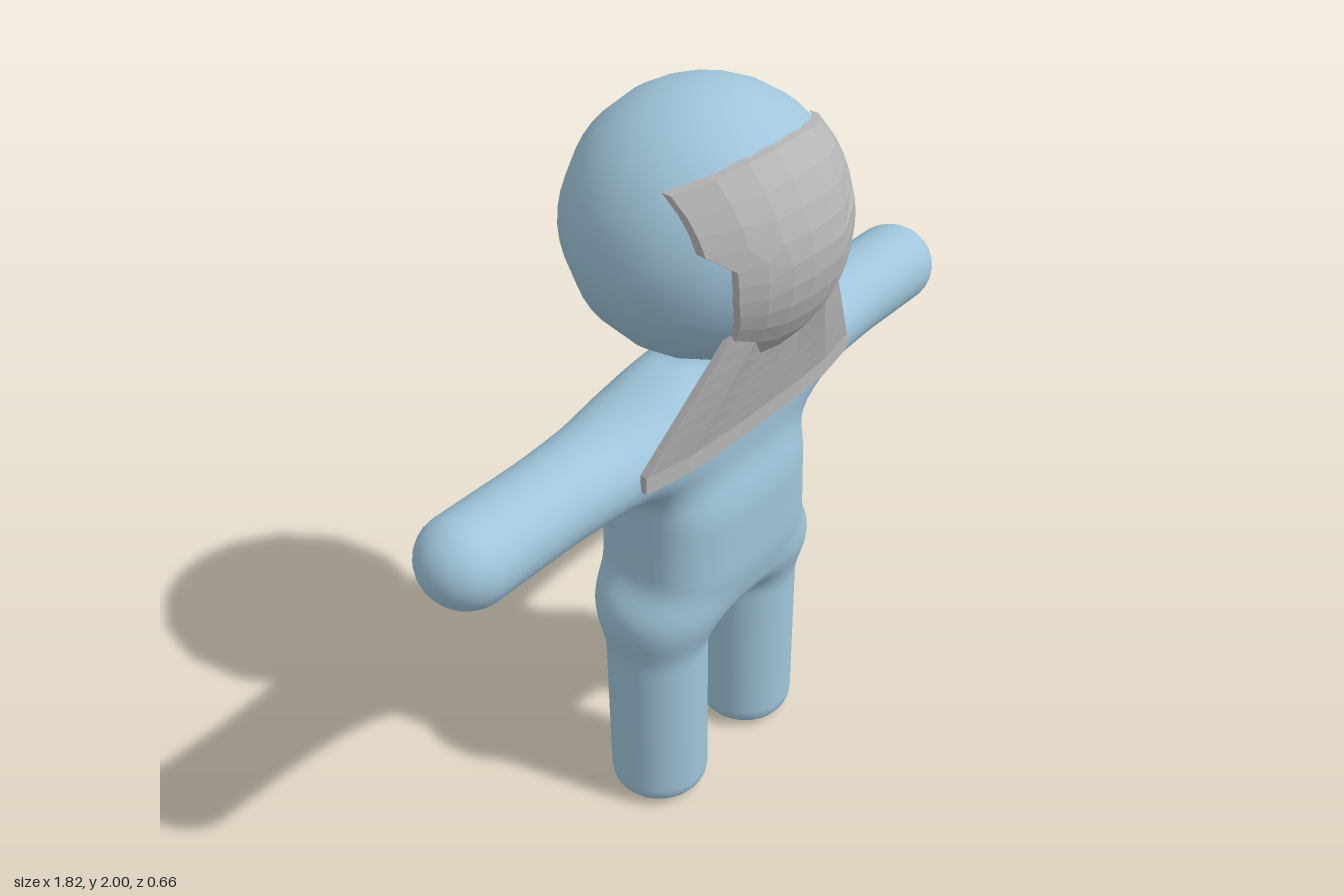
import * as THREE from 'three';

const blue = new THREE.MeshStandardMaterial({ color: 0xa0c5db });
blue.name = 'soft blue';
const grey = new THREE.MeshStandardMaterial({ color: 0xb6b6b6, side: THREE.DoubleSide });
grey.name = 'mask grey';

const step = THREE.MathUtils.smoothstep;
const blendMin = (a, b, k) => {
  const h = Math.max(k - Math.abs(a - b), 0) / k;
  return Math.min(a, b) - h * h * k / 4;
};

// Signed distance to the body: torso, arms, legs and neck blended together
function bodyDistance(px, y, z) {
  const x = Math.abs(px);
  const rx = 0.29 - 0.015 * step(y, 0.6, 1.0) - 0.1 * step(y, 1.22, 1.37);
  const rz = 0.135 + 0.05 * step(y, 0.5, 0.8) - 0.045 * step(y, 0.95, 1.2) - 0.05 * step(y, 1.2, 1.37);
  const side = (Math.cbrt((x / rx) ** 3 + Math.abs(z / rz) ** 3) - 1) * rz;
  const torso = -blendMin(-side, -(Math.abs(y - 0.98) - 0.38), 0.08);

  const spread = 1.07 + 0.22 * (1 - step(x, 0.25, 0.6));
  const arm = Math.hypot(Math.max(x - 0.802, 0), y - 1.195, z / spread) - 0.108;

  const a = Math.hypot(x - 0.19, z + 0.005) - 0.075;
  const b = Math.abs(y - 0.36) - 0.3;
  const leg = Math.hypot(Math.max(a, 0), Math.max(b, 0)) + Math.min(Math.max(a, b), 0) - 0.058;

  const neck = Math.hypot(x, Math.max(1.2 - y, y - 1.42, 0), z) - 0.082;
  return blendMin(blendMin(blendMin(torso, arm, 0.09), leg, 0.09), neck, 0.06);
}

function gradient(x, y, z) {
  const e = 0.002, f = bodyDistance;
  return new THREE.Vector3(f(x + e, y, z) - f(x - e, y, z), f(x, y + e, z) - f(x, y - e, z),
    f(x, y, z + e) - f(x, y, z - e)).divideScalar(2 * e);
}

// Quad mesh wrapped around a distance function on a regular grid
function bodyGeometry() {
  const s = 0.024, n = [80, 64, 20], origin = [-0.96, -0.041, -0.24];
  const stride = [1, n[0], n[0] * n[1]];
  const at = (i, axis) => origin[axis] + i * s;
  const value = new Float32Array(n[0] * n[1] * n[2]);
  const cells = (from, fn) => {
    for (let k = from; k < n[2] - 1; k++)
      for (let j = from; j < n[1] - 1; j++)
        for (let i = from; i < n[0] - 1; i++) fn([i, j, k], i + j * stride[1] + k * stride[2]);
  };
  for (let id = 0; id < value.length; id++) {
    const i = id % n[0], j = Math.floor(id / n[0]) % n[1], k = Math.floor(id / stride[2]);
    value[id] = bodyDistance(at(i, 0), at(j, 1), at(k, 2));
  }

  // one vertex in each cell that the surface crosses
  const vertex = new Map(), positions = [], normals = [], index = [];
  cells(0, (c, id) => {
    const sum = new THREE.Vector3();
    let count = 0;
    for (let p = 0; p < 8; p++) for (let a = 0; a < 3; a++) {
      if (p >> a & 1) continue;
      const bits = [p & 1, p >> 1 & 1, p >> 2 & 1];
      const start = id + bits[0] + bits[1] * stride[1] + bits[2] * stride[2];
      const v0 = value[start], v1 = value[start + stride[a]];
      if ((v0 < 0) === (v1 < 0)) continue;
      bits[a] += v0 / (v0 - v1);
      sum.add(new THREE.Vector3(...bits));
      count++;
    }
    if (!count) return;
    const p = sum.divideScalar(count).multiplyScalar(s)
      .add(new THREE.Vector3(at(c[0], 0), at(c[1], 1), at(c[2], 2)));
    for (let t = 0; t < 2; t++) {
      const g = gradient(p.x, p.y, p.z);
      p.addScaledVector(g, -bodyDistance(p.x, p.y, p.z) / Math.max(g.lengthSq(), 0.2));
    }
    vertex.set(id, positions.length / 3);
    positions.push(p.x, p.y, p.z);
    normals.push(...gradient(p.x, p.y, p.z).normalize().toArray());
  });

  // one quad around each grid edge that the surface crosses
  cells(1, (c, id) => {
    for (let a = 0; a < 3; a++) {
      const inside = value[id] < 0;
      if (inside === (value[id + stride[a]] < 0)) continue;
      const b = stride[(a + 1) % 3], d = stride[(a + 2) % 3];
      const q = [id - b - d, id - d, id, id - b].map(v => vertex.get(v));
      if (!inside) q.reverse();
      index.push(q[0], q[1], q[2], q[0], q[2], q[3]);
    }
  });
  const g = new THREE.BufferGeometry();
  g.setAttribute('position', new THREE.Float32BufferAttribute(positions, 3));
  g.setAttribute('normal', new THREE.Float32BufferAttribute(normals, 3));
  g.setIndex(index);
  return g;
}

// Faceted sheet over u in -1..1 and v in 0..1 (top to bottom), with a rim folded back
function sheet(cols, rows, depth, point) {
  const positions = [], index = [], w = cols + 3;
  for (let r = -1; r <= rows + 1; r++) for (let c = -1; c <= cols + 1; c++) {
    const rim = r < 0 || c < 0 || r > rows || c > cols;
    const u = THREE.MathUtils.clamp(c / cols, 0, 1) * 2 - 1;
    const [x, y, z] = point(u, THREE.MathUtils.clamp(r / rows, 0, 1));
    positions.push(x, y, z - (rim ? depth : 0));
  }
  for (let r = 0; r < rows + 2; r++) for (let c = 0; c < cols + 2; c++) {
    const i = r * w + c;
    index.push(i, i + w, i + 1, i + 1, i + w, i + w + 1);
  }
  const g = new THREE.BufferGeometry();
  g.setAttribute('position', new THREE.Float32BufferAttribute(positions, 3));
  g.setIndex(index);
  const flat = g.toNonIndexed();
  flat.computeVertexNormals();
  return flat;
}

// Lower edge of the mask, level under the chin and raised at the sides
const maskBottom = u => 1.45 + 0.09 * step(Math.abs(u), 0.4, 0.85);

function maskPoint(u, v) {
  const top = 1.93 - 0.055 * u * u;
  const y = THREE.MathUtils.lerp(top, maskBottom(u), v);
  const x = u * (0.255 - 0.045 * step(v, 0.4, 0) - 0.02 * step(v, 0.6, 1));
  const z = 0.333 * Math.sqrt(1 - (x / 0.35) ** 2 - ((y - 1.68) / 0.335) ** 2);
  return [x, y, z];
}

// Hanging cloth that flares from the mask down to a straight hem
function veilPoint(u, v) {
  const [x0, y0, z0] = maskPoint(u, 1);
  const a = Math.abs(u);
  const t = Math.min(v / 0.86, 1);
  const low = v > 0.86 ? 1.19 : 1.235;
  const x = THREE.MathUtils.lerp(x0, u * 0.385, t);
  const z = THREE.MathUtils.lerp(z0 - 0.006, 0.178 - 0.03 * a ** 4, t);
  return [x, THREE.MathUtils.lerp(y0 + 0.01, low, t), z];
}

export function createModel() {
  const model = new THREE.Group();
  model.name = 'maskedFigure';
  const add = (name, geometry, material) => {
    const mesh = new THREE.Mesh(geometry, material);
    mesh.name = name;
    model.add(mesh);
    return mesh;
  };

  add('body', bodyGeometry(), blue);

  const head = add('head', new THREE.SphereGeometry(1, 16, 24), blue);
  head.scale.set(0.335, 0.32, 0.327);
  head.position.y = 1.68;

  add('mask', sheet(7, 9, 0.025, maskPoint), grey);
  add('veil', sheet(6, 7, 0.018, veilPoint), grey);
  return model;
}
